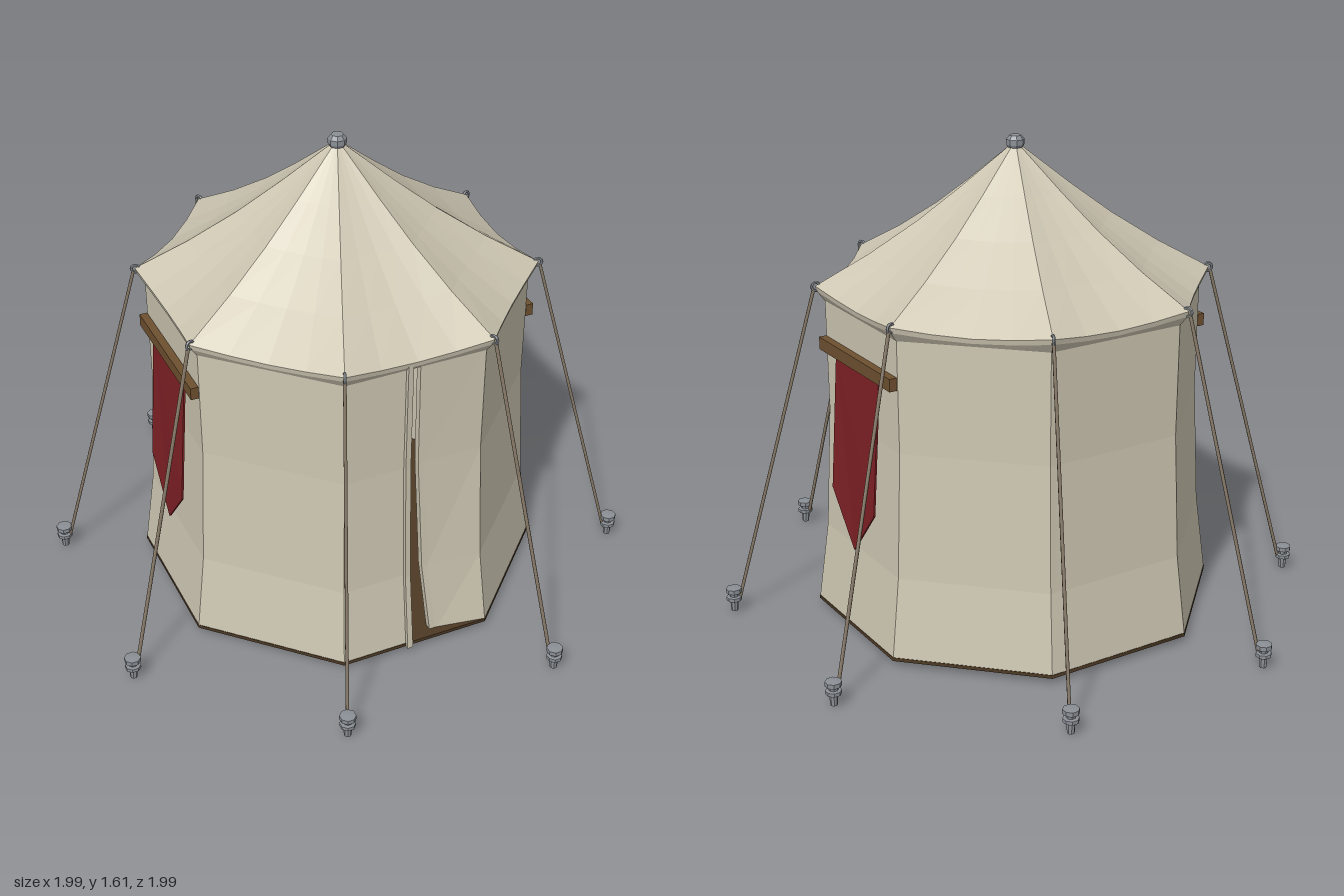
import * as THREE from 'three';

const mat = (color, extra = {}) => new THREE.MeshStandardMaterial({ color, ...extra });
const STEP = Math.PI / 4;

// Point at angle a (0 = front, turning towards +x)
const polar = (r, a, y) => new THREE.Vector3(r * Math.sin(a), y, r * Math.cos(a));

// Skin rows of points; each row runs in the same direction, top row first
function skin(rows) {
  const pos = [], index = [], n = rows[0].length;
  rows.forEach(row => row.forEach(p => pos.push(p.x, p.y, p.z)));
  for (let j = 0; j < rows.length - 1; j++) {
    for (let i = 0; i < n - 1; i++) {
      const a = j * n + i, b = a + n;
      index.push(a, b, a + 1, a + 1, b, b + 1);
    }
  }
  const g = new THREE.BufferGeometry();
  g.setAttribute('position', new THREE.Float32BufferAttribute(pos, 3));
  g.setIndex(index);
  g.computeVertexNormals();
  return g;
}

export function createModel() {
  const tent = new THREE.Group();
  const canvas = mat(0xcdc6b2, { side: THREE.DoubleSide, flatShading: true });
  const cloth = mat(0x7d2024, { side: THREE.DoubleSide });
  const wood = mat(0x6e5030);
  const floorMat = mat(0x4d3a25);
  const ropeMat = mat(0x857866);
  const metal = mat(0x8b9096, { flatShading: true });

  const add = (name, geometry, material, parent = tent) => {
    const m = new THREE.Mesh(geometry, material);
    m.name = name;
    parent.add(m);
    return m;
  };
  const rod = (name, a, b, r, material) => {
    const m = add(name, new THREE.CylinderGeometry(r, r, a.distanceTo(b), 6), material);
    m.position.copy(a).lerp(b, 0.5);
    m.quaternion.setFromUnitVectors(new THREE.Vector3(0, 1, 0), b.clone().sub(a).normalize());
  };

  // Floor
  add('floor', new THREE.CylinderGeometry(0.68, 0.68, 0.012, 8), floorMat).position.y = 0.028;

  // Walls: radius and height from top to ground
  const wallProfile = [[0.625, 1.11], [0.622, 0.72], [0.643, 0.3], [0.68, 0.022]];
  const wallPoint = (k, t, [r, y], out = 0) => {
    const p = polar(r, k * STEP, y).lerp(polar(r, (k + 1) * STEP, y), t);
    return p.add(polar(out, (k + 0.5) * STEP, 0));
  };
  for (let k = 1; k < 8; k++) {
    add('wallPanel', skin(wallProfile.map(p => [wallPoint(k, 0, p), wallPoint(k, 1, p)])), canvas);
  }

  // Door panel: fixed side, and a flap drawn back to leave a slit
  const slit = [0.53, 0.54, 0.58, 0.63], tuck = [0, -0.003, -0.015, -0.03];
  add('doorFixedSide', skin(wallProfile.map(p =>
    [wallPoint(0, 0, p), wallPoint(0, 0.43, p)])), canvas);
  add('doorHem', skin(wallProfile.map(p =>
    [wallPoint(0, 0.43, p, 0.015), wallPoint(0, 0.47, p, 0.012), wallPoint(0, 0.46, p, -0.008)])), canvas);
  add('doorHemReturn', skin(wallProfile.map(p =>
    [wallPoint(0, 0.43, p), wallPoint(0, 0.43, p, 0.015)])), canvas);
  add('doorFlap', skin(wallProfile.map((p, j) =>
    [wallPoint(0, slit[j], p, tuck[j] - 0.025), wallPoint(0, slit[j], p, tuck[j]),
      wallPoint(0, slit[j] + 0.04, p, tuck[j]), wallPoint(0, 1, p)])), canvas);

  // Roof: concave ridges, with cloth sagging between them
  const roofProfile = [[0.008, 1.585, 0], [0.18, 1.447, 0.004], [0.32, 1.342, 0.008],
    [0.48, 1.238, 0.014], [0.655, 1.14, 0.022]];
  const roofRow = ([r, y, sag], inset = 0) => {
    const row = [];
    for (let i = 0; i <= 32; i++) {
      const k = Math.floor(i / 4), t = (i % 4) / 4, dip = sag * Math.sin(Math.PI * t);
      const p = polar(r - inset, k * STEP, y).lerp(polar(r - inset, (k + 1) * STEP, y), t);
      p.y -= dip;
      row.push(p.add(polar(-dip * 0.7, (k + 0.5) * STEP, 0)));
    }
    return row;
  };
  add('roof', skin(roofProfile.map(p => roofRow(p))), canvas);
  // Hem folded under the eaves
  add('eaves', skin([roofRow([0.655, 1.14, 0.022]), roofRow([0.65, 1.122, 0.02]),
    roofRow([0.626, 1.09, 0])]), canvas);

  // Finial
  const finial = [[0, 1.562], [0.02, 1.562], [0.03, 1.58], [0.03, 1.597], [0.02, 1.61], [0, 1.61]];
  add('finial', new THREE.LatheGeometry(finial.map(p => new THREE.Vector2(...p)), 8), metal);

  // Guy ropes, eyelets and ground stakes at each corner
  const stake = [[0, 0], [0.012, 0.003], [0.014, 0.04], [0.026, 0.042], [0.026, 0.054],
    [0.015, 0.056], [0.017, 0.068], [0.027, 0.07], [0.027, 0.085], [0, 0.087]];
  for (let k = 0; k < 8; k++) {
    const a = k * STEP;
    const eyelet = add('eyelet', new THREE.TorusGeometry(0.014, 0.005, 6, 10), metal);
    eyelet.position.copy(polar(0.652, a, 1.138));
    eyelet.rotation.y = a + Math.PI / 2;
    rod('guyRope', polar(0.66, a, 1.13), polar(0.95, a, 0.05), 0.006, ropeMat);
    rod('ropeLoop', polar(0.945, a, 0.05), polar(0.97, a, 0.05), 0.006, ropeMat);
    add('stake', new THREE.LatheGeometry(stake.map(p => new THREE.Vector2(...p)), 8), metal)
      .position.copy(polar(0.97, a, 0));
  }

  // Pointed banners on beams, on two opposite sides
  for (const a of [2.5 * STEP, 6.5 * STEP]) {
    const banner = new THREE.Group();
    banner.name = 'banner';
    banner.rotation.y = a;
    tent.add(banner);
    add('bannerBeam', new THREE.BoxGeometry(0.475, 0.042, 0.026), wood, banner).position.set(0, 0.95, 0.591);
    const shape = new THREE.Shape([[-0.143, 0.94], [-0.143, 0.48], [0, 0.308], [0.143, 0.48], [0.143, 0.94]]
      .map(p => new THREE.Vector2(...p)));
    const g = new THREE.ExtrudeGeometry(shape, { depth: 0.006, bevelEnabled: false });
    const pos = g.attributes.position;
    // Lean the cloth outwards towards its tip
    for (let i = 0; i < pos.count; i++) {
      const y = pos.getY(i);
      pos.setZ(i, pos.getZ(i) + 0.586 + Math.min(0.94 - y, 0.46) * 0.065);
    }
    g.computeVertexNormals();
    add('bannerCloth', g, cloth, banner);
  }
  return tent;
}
